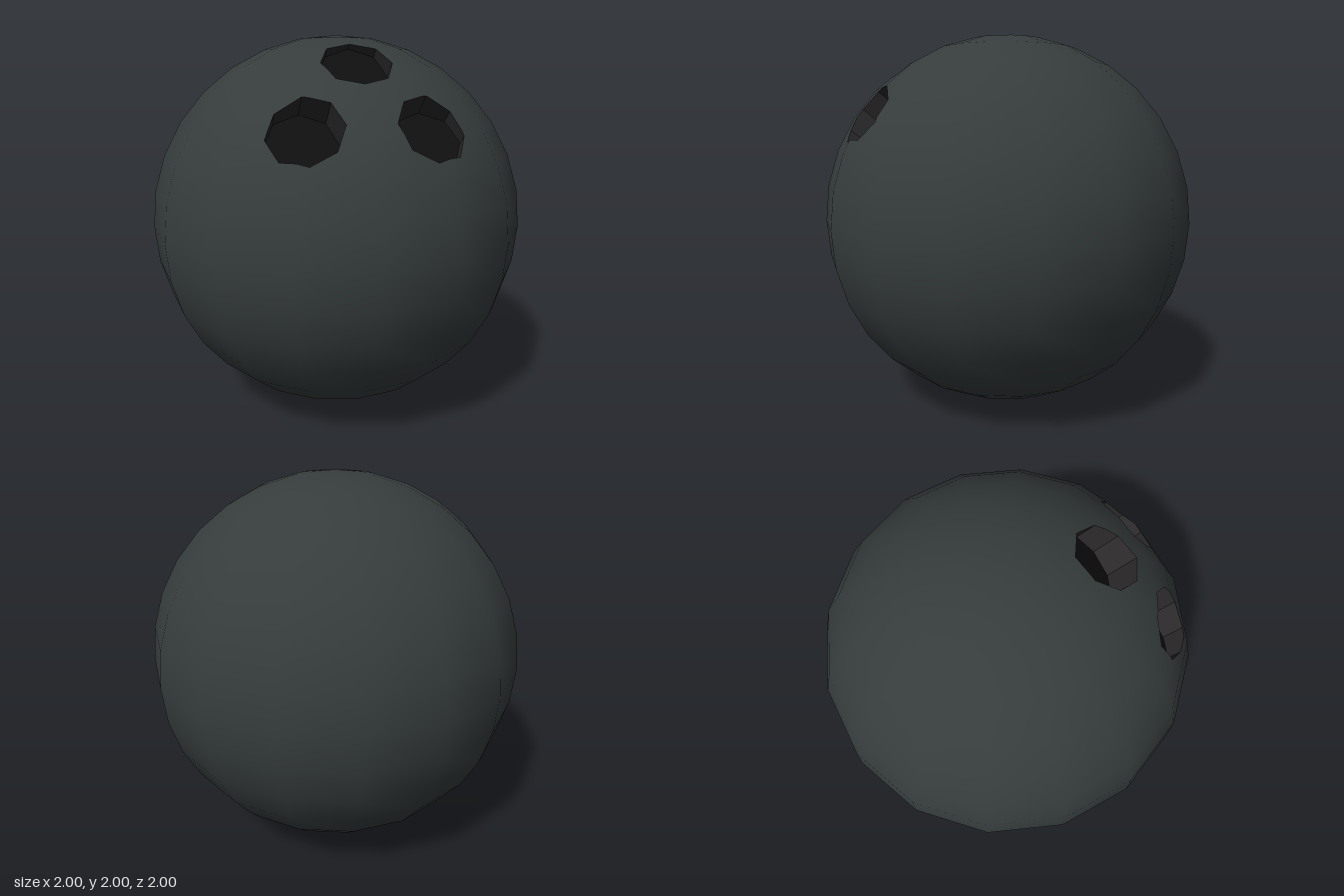
import * as THREE from 'three';

const TILT = Math.atan2(0.64, 0.77);
const AXIS = new THREE.Vector3(0, Math.sin(TILT), Math.cos(TILT)); // shared drilling direction
const SIDE = new THREE.Vector3(1, 0, 0);
const UP = new THREE.Vector3().crossVectors(AXIS, SIDE);
const FLOOR = 0.81; // distance of the hole bottoms along the axis
const RADIUS = 0.172;
const HOLES = [
  { name: 'thumbHole', x: 0, v: 0.354 },
  { name: 'leftFingerHole', x: 0.287, v: -0.033 },
  { name: 'rightFingerHole', x: -0.287, v: -0.033 },
];

// Corners of a hole's octagon on the floor plane
function octagon({ x, v }) {
  return Array.from({ length: 8 }, (_, i) => {
    const a = (i * Math.PI) / 4;
    return AXIS.clone().multiplyScalar(FLOOR)
      .addScaledVector(SIDE, x + RADIUS * Math.cos(a))
      .addScaledVector(UP, v + RADIUS * Math.sin(a));
  });
}

// Outward planes through the octagon's edges
function sidePlanes(corners) {
  return corners.map((c, i) => {
    const n = corners[(i + 1) % 8].clone().sub(c).cross(AXIS).normalize();
    return new THREE.Plane().setFromNormalAndCoplanarPoint(n, c);
  });
}

// Split a convex polygon by a plane
function split(poly, plane) {
  const inside = [], outside = [];
  poly.forEach((a, i) => {
    const b = poly[(i + 1) % poly.length];
    const da = plane.distanceToPoint(a), db = plane.distanceToPoint(b);
    if (da <= 1e-7) inside.push(a);
    if (da >= -1e-7) outside.push(a);
    if ((da > 1e-7 && db < -1e-7) || (da < -1e-7 && db > 1e-7)) {
      const p = a.clone().lerp(b, da / (da - db));
      inside.push(p);
      outside.push(p);
    }
  });
  return { inside, outside };
}

// Fan-triangulate convex polygons into a geometry
function polygonsToGeometry(polys) {
  const points = [];
  for (const p of polys) {
    for (let i = 1; i < p.length - 1; i++) points.push(p[0], p[i], p[i + 1]);
  }
  const g = new THREE.BufferGeometry().setFromPoints(points);
  g.computeVertexNormals();
  return g;
}

function sphereTriangles() {
  const g = new THREE.SphereGeometry(1, 16, 16).toNonIndexed();
  const pos = g.attributes.position, tris = [];
  for (let i = 0; i < pos.count; i += 3) {
    tris.push([0, 1, 2].map((k) => new THREE.Vector3().fromBufferAttribute(pos, i + k)));
  }
  return tris;
}

// Cut a hole from the shell; returns the remaining shell and the hole's walls
function drill(shell, corners) {
  const planes = sidePlanes(corners), kept = [], walls = [];
  const drop = (p) => p.clone().addScaledVector(AXIS, FLOOR - p.dot(AXIS));
  for (const poly of shell) {
    let rest = poly;
    const pieces = [];
    if (poly.some((p) => p.dot(AXIS) < 0.3)) rest = [];
    for (const plane of planes) {
      if (rest.length < 3) break;
      const { inside, outside } = split(rest, plane);
      if (outside.length > 2) pieces.push(outside);
      rest = inside;
    }
    if (rest.length < 3) {
      kept.push(poly);
      continue;
    }
    kept.push(...pieces);
    rest.forEach((a, i) => {
      const b = rest[(i + 1) % rest.length];
      const onEdge = planes.some((pl) =>
        Math.abs(pl.distanceToPoint(a)) < 1e-5 && Math.abs(pl.distanceToPoint(b)) < 1e-5);
      if (onEdge) walls.push([a, b, drop(b), drop(a)]);
    });
  }
  return { kept, walls };
}

export function createModel() {
  const group = new THREE.Group();
  const shellMat = new THREE.MeshStandardMaterial({ color: 0x363c3c });
  const wallMat = new THREE.MeshStandardMaterial({ color: 0x2a2828, side: THREE.DoubleSide });
  const floorMat = new THREE.MeshStandardMaterial({ color: 0x101010 });

  const add = (parent, name, geometry, material) => {
    const mesh = new THREE.Mesh(geometry, material);
    mesh.name = name;
    parent.add(mesh);
  };

  // Finger holes: faceted walls and a flat floor
  let shell = sphereTriangles();
  for (const hole of HOLES) {
    const corners = octagon(hole);
    const { kept, walls } = drill(shell, corners);
    shell = kept;
    const part = new THREE.Group();
    part.name = hole.name;
    add(part, 'holeWall', polygonsToGeometry(walls), wallMat);
    add(part, 'holeFloor', polygonsToGeometry([corners]), floorMat);
    group.add(part);
  }

  // Ball shell with smooth radial normals
  const ball = polygonsToGeometry(shell);
  const pos = ball.attributes.position, n = new THREE.Vector3();
  for (let i = 0; i < pos.count; i++) {
    n.fromBufferAttribute(pos, i).normalize();
    ball.attributes.normal.setXYZ(i, n.x, n.y, n.z);
  }
  add(group, 'ballShell', ball, shellMat);

  for (const part of group.children) part.position.y = 1;
  return group;
}
